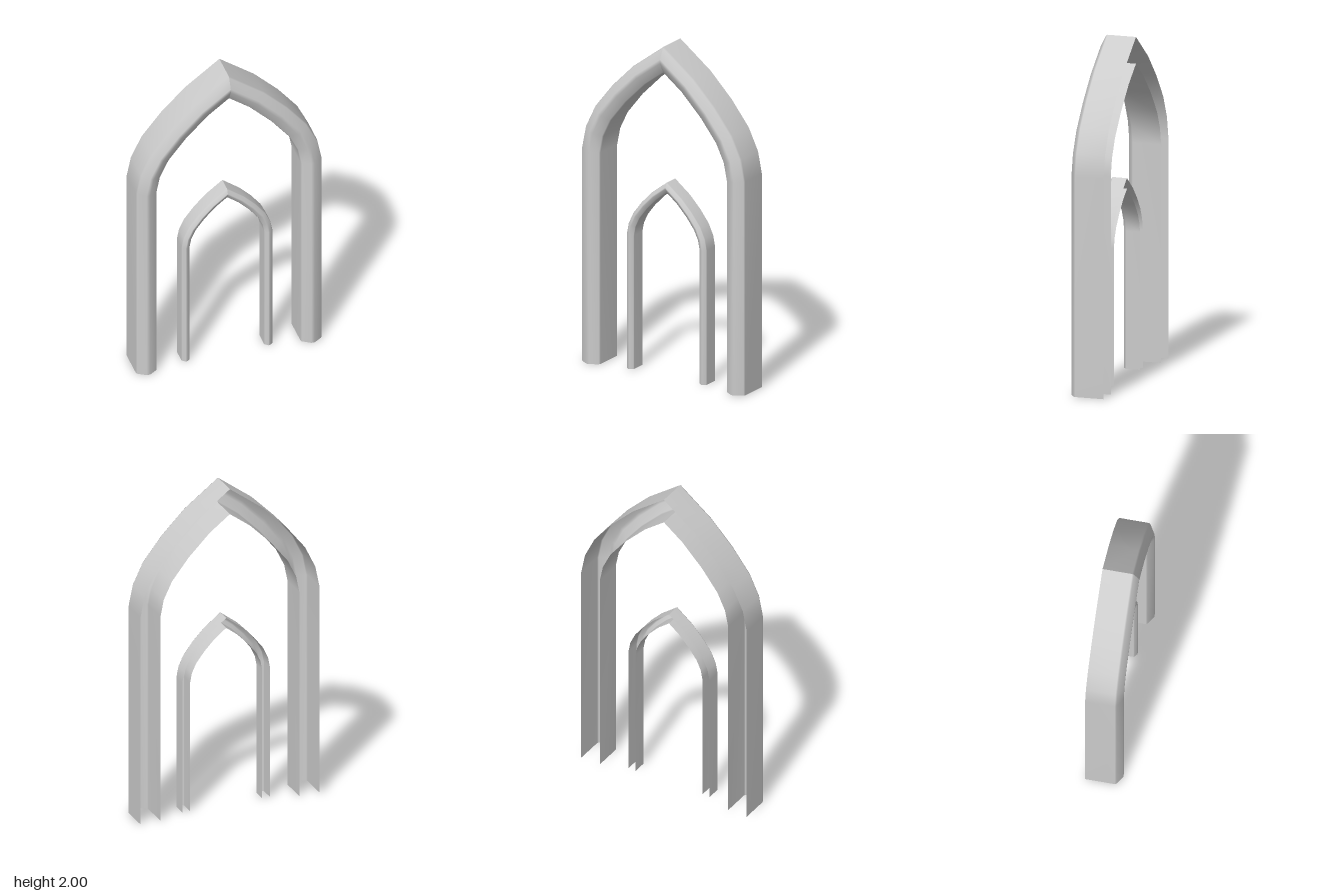
import * as THREE from 'three';

const material = new THREE.MeshStandardMaterial({ color: 0xcccccc, side: THREE.DoubleSide });

// Outer edge of half an arch, from the spring line to the apex
const curve = [[0.556, 1.29], [0.53, 1.42], [0.466, 1.553], [0.35, 1.70], [0.207, 1.844], [0, 2]];

// Moulding section, outer wall to inner wall: [share of the width, z]; open at the back
const section = [
  [0, -0.107], [0, 0.065], [0.04, 0.075], [0.42, 0.105],
  [0.58, 0.105], [0.96, 0.075], [1, 0.065], [1, -0.107],
];

// Sweep the section along one half of the arch with mitred corners
function halfArch(points, width, depthScale, side) {
  const path = points.map(([x, y]) => new THREE.Vector2(x, y));
  const last = path.length - 1;
  const mirrored = new THREE.Vector2(-path[last - 1].x, path[last - 1].y);
  const inward = (p, q) => {
    const d = q.clone().sub(p).normalize();
    return new THREE.Vector2(-d.y, d.x);
  };
  const positions = [], index = [];
  const n = section.length;
  path.forEach((p, i) => {
    const after = inward(p, path[i + 1] ?? mirrored);
    const before = i ? inward(path[i - 1], p) : after;
    const mitre = before.clone().add(after).normalize();
    mitre.multiplyScalar(width / mitre.dot(before));
    for (const [u, z] of section) {
      positions.push(side * (p.x + mitre.x * u), p.y + mitre.y * u, z * depthScale);
    }
    if (i === last) return;
    for (let j = 0; j < n - 1; j++) {
      const a = i * n + j, b = a + n, c = a + 1, d = b + 1;
      if (side > 0) index.push(a, b, c, b, d, c);
      else index.push(a, c, b, b, c, d);
    }
  });
  const geometry = new THREE.BufferGeometry();
  geometry.setAttribute('position', new THREE.Float32BufferAttribute(positions, 3));
  geometry.setIndex(index);
  geometry.computeVertexNormals();
  return new THREE.Mesh(geometry, material);
}

// Pointed arch with two straight legs standing on the ground
function pointedArch(name, scaleX, scaleY, top, width, depthScale) {
  const points = curve.map(([x, y]) => [x * scaleX, top - (2 - y) * scaleY]);
  points.unshift([points[0][0], 0]);
  const arch = new THREE.Group();
  arch.name = name;
  for (const side of [1, -1]) {
    const half = halfArch(points, width, depthScale, side);
    half.name = side > 0 ? 'leftHalf' : 'rightHalf';
    arch.add(half);
  }
  return arch;
}

export function createModel() {
  const group = new THREE.Group();
  group.name = 'pointedArches';
  group.add(pointedArch('largeArch', 1, 1, 2, 0.125, 1));
  group.add(pointedArch('smallArch', 0.49, 0.505, 1.17, 0.049, 0.49));
  return group;
}
